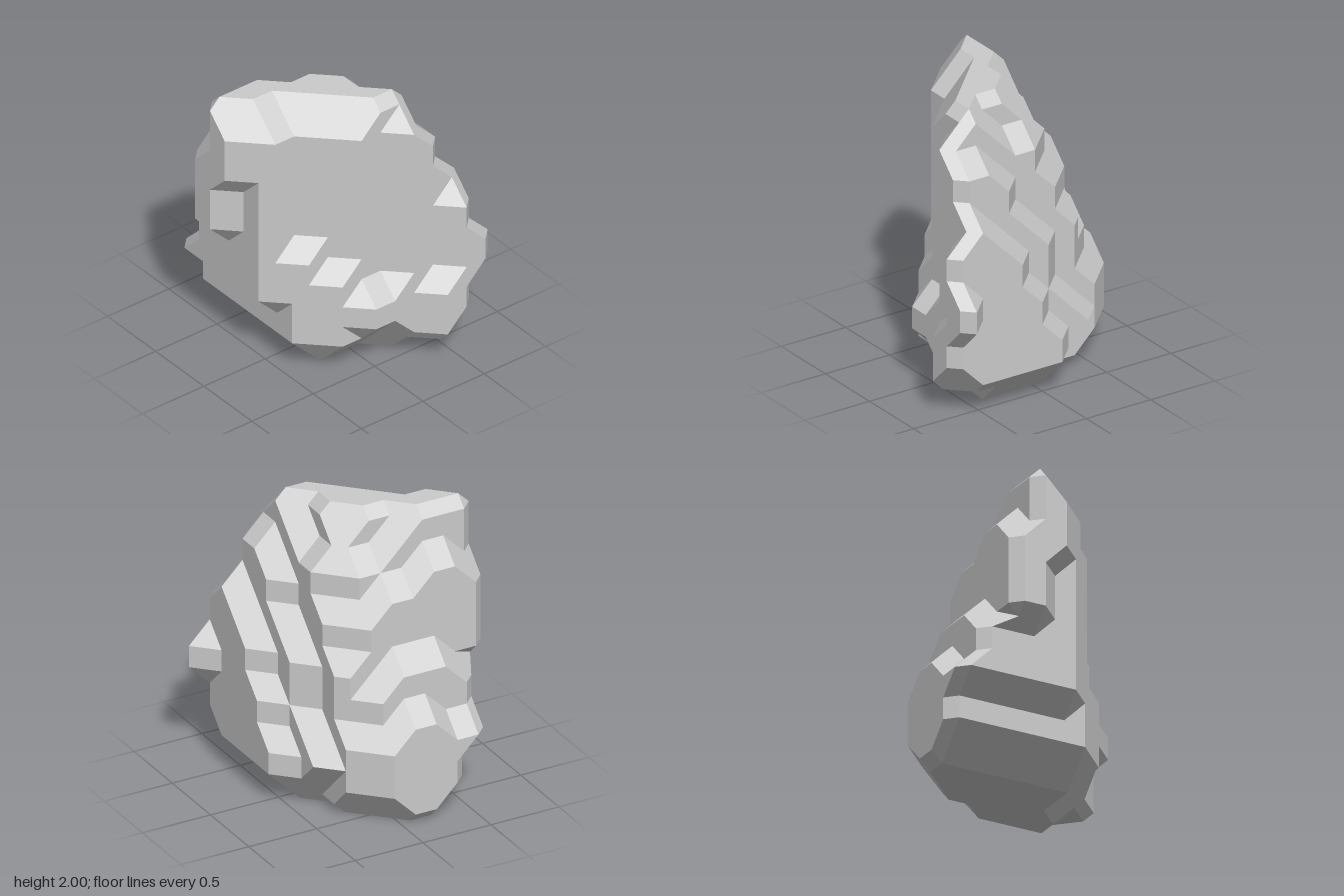
import * as THREE from 'three';

// The rock is a lattice of solid points, two steps apart, skinned with 45-degree facets.
const U = 1 / 13;

// One entry per column along x = -9, -7 ... 9 (in lattice steps)
const FRONT = [-1, 1, 1, 3, 5, 5, 7, 7, 7, 9];          // front wall z
const LEDGE = [0, 0, 11, 9, 7, 7, 0, 7, 15, 0];         // height under which the wall juts out
const FLOOR = [13, 7, 3, 1, 1, 1, 1, 1, 3, 9];          // underside height
// Terraced back slope: first z of the column, then its heights going forward
const SLOPE = [
  [-5, 19],
  [-9, 7, 11, 21],
  [-9, 7, 13, 21],
  [-9, 9, 13, 19, 23],
  [-9, 9, 13, 19, 21],
  [-9, 7, 11, 17, 21, 23],
  [-7, 7, 13, 17, 21, 21, 23, 25, 23],
  [-5, 5, 7, 13, 15, 19, 21, 21],
  [-1, 5, 9, 13, 15, 17, 15],
  [9, 11],
];

function frontAt(i, x, y) {
  let z = FRONT[i];
  if (y <= LEDGE[i] && y >= (Math.abs(x) === 1 ? 5 : 3)) z += 2;
  if ((y === 1 && x > -3) || (y === 25 && x !== 1) || (x === -9 && y <= 17)) z -= 2;
  return z;
}

function solid(x, y, z) {
  if (Math.abs(x) > 9 || y < 1 || y > 25) return false;
  const i = (x + 9) / 2;
  const [z0, ...heights] = SLOPE[i];
  if (z < z0 || z > frontAt(i, x, y)) return false;
  // undercuts along the lower back edge and the lower front corner
  const undercut = x === 7 && z === 9 ? 5 : x - z - 7 + (x === 5 ? 2 : 0);
  return y >= Math.max(FLOOR[i], undercut) && y <= (heights[(z - z0) / 2] ?? 25);
}

// True when a triangle faces along an axis, an edge diagonal or a corner diagonal
function isCleanFacet(a, b, c) {
  const [u, v] = [b, c].map((p) => new THREE.Vector3(...p).sub(new THREE.Vector3(...a)));
  const n = u.cross(v).toArray().map(Math.abs).filter((k) => k > 0);
  return n.length > 0 && n.every((k) => k === n[0]);
}

// Split a polygon into triangles, keeping as many clean facets as possible
function triangulate(loop) {
  if (loop.length < 3) return { score: 0, triangles: [] };
  const first = loop[0], last = loop[loop.length - 1];
  let best = { score: -1 };
  for (let m = 1; m < loop.length - 1; m++) {
    const a = triangulate(loop.slice(0, m + 1)), b = triangulate(loop.slice(m));
    const score = a.score + b.score + (isCleanFacet(first, loop[m], last) ? 1 : 0);
    if (score > best.score)
      best = { score, triangles: [...a.triangles, [first, loop[m], last], ...b.triangles] };
  }
  return best;
}

// Corner loops of a cell's six sides, counter-clockwise from outside
const SIDES = [[4, 5, 7, 6], [0, 2, 3, 1], [1, 3, 7, 5], [0, 4, 6, 2], [2, 6, 7, 3], [0, 1, 5, 4]];

// Trace the surface polygons through one cell
function skinCell(x, y, z, out) {
  const corners = [];
  for (let c = 0; c < 8; c++) corners.push([x + 2 * (c & 1), y + (c & 2), z + (c & 4) / 2]);
  const full = corners.map((p) => solid(...p));
  if (full.every((f) => f === full[0])) return;

  const key = (a, b) => Math.min(a, b) * 8 + Math.max(a, b);
  const next = new Map();
  for (const s of SIDES) {
    for (let k = 0; k < 4; k++) {
      if (full[s[k]] || !full[s[(k + 1) % 4]]) continue;
      let m = k + 1;
      while (full[s[(m + 1) % 4]]) m++;
      next.set(key(s[k], s[(k + 1) % 4]), key(s[m % 4], s[(m + 1) % 4]));
    }
  }
  const mid = (e) => corners[e >> 3].map((v, n) => (v + corners[e & 7][n]) / 2);
  while (next.size) {
    const loop = [];
    let e = next.keys().next().value;
    while (next.has(e)) {
      loop.push(mid(e));
      const n = next.get(e);
      next.delete(e);
      e = n;
    }
    out.push(...triangulate(loop).triangles.flat(2));
  }
}

export function createModel() {
  const positions = [];
  for (let x = -11; x <= 9; x += 2)
    for (let y = -1; y <= 25; y += 2)
      for (let z = -11; z <= 9; z += 2) skinCell(x, y, z, positions);

  const geometry = new THREE.BufferGeometry();
  geometry.setAttribute('position', new THREE.Float32BufferAttribute(positions, 3));
  geometry.scale(U, U, U);
  geometry.computeVertexNormals();

  const rock = new THREE.Mesh(
    geometry,
    new THREE.MeshStandardMaterial({ color: 0xcccccc, flatShading: true })
  );
  rock.name = 'rock';
  const group = new THREE.Group();
  group.name = 'facetedRock';
  group.add(rock);
  return group;
}
